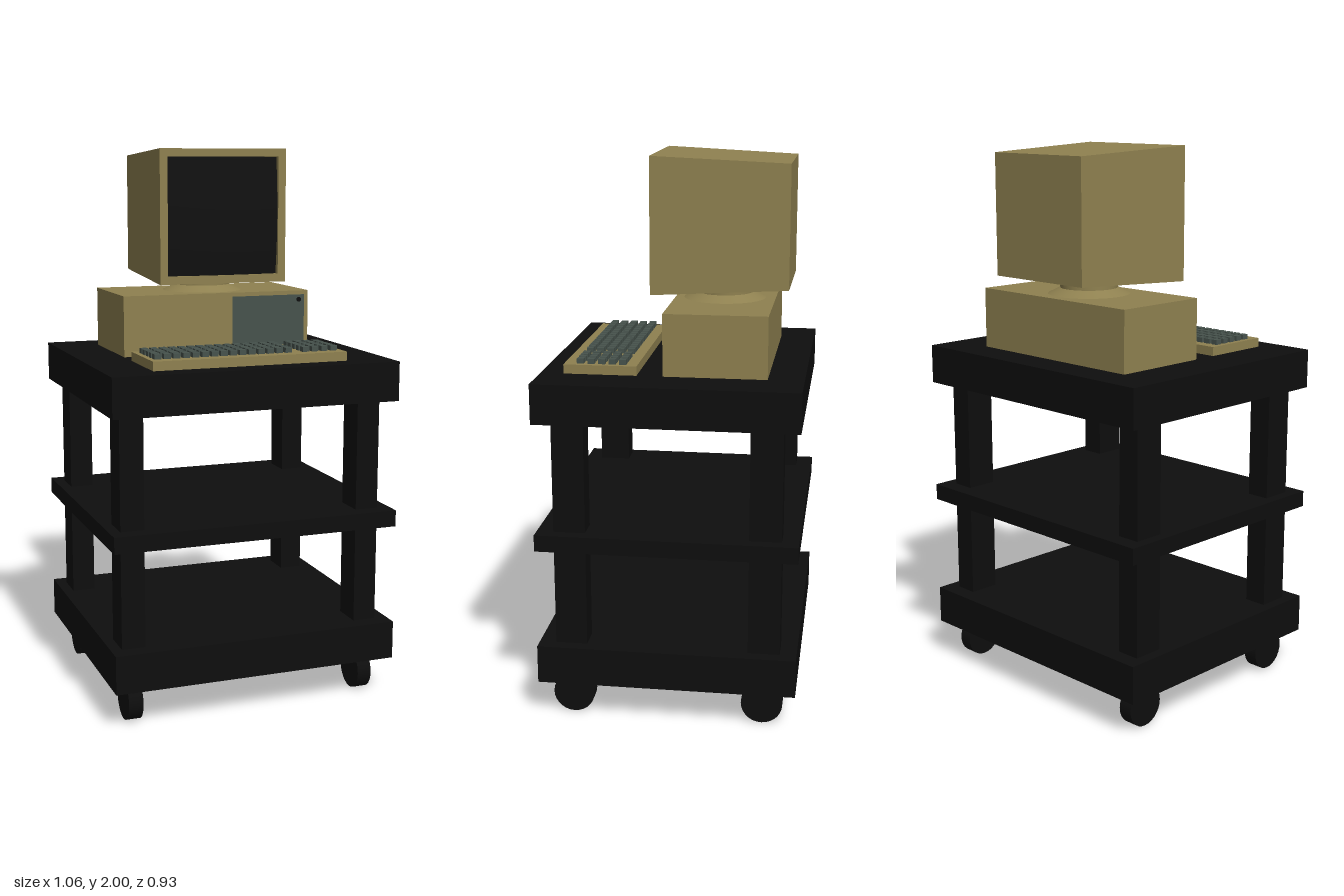
import * as THREE from 'three';

const black = new THREE.MeshStandardMaterial({ color: 0x0e0e0e });
const tan = new THREE.MeshStandardMaterial({ color: 0x8f8150 });
const slate = new THREE.MeshStandardMaterial({ color: 0x47534d });
const glass = new THREE.MeshStandardMaterial({ color: 0x111111 });

// Add a named mesh to a parent
function add(parent, name, geometry, material, x = 0, y = 0, z = 0) {
  const mesh = new THREE.Mesh(geometry, material);
  mesh.name = name;
  mesh.position.set(x, y, z);
  parent.add(mesh);
  return mesh;
}

// Box given by its extents on each axis
function addBox(parent, name, material, [x0, x1], [y0, y1], [z0, z1]) {
  return add(parent, name, new THREE.BoxGeometry(x1 - x0, y1 - y0, z1 - z0), material,
    (x0 + x1) / 2, (y0 + y1) / 2, (z0 + z1) / 2);
}

function addGroup(parent, name) {
  const group = new THREE.Group();
  group.name = name;
  parent.add(group);
  return group;
}

// Skin a row of rectangular sections [halfWidth, bottom, top, z], capping both ends
function loftRects(sections) {
  const points = [], index = [];
  for (const [w, y0, y1, z] of sections) points.push(-w, y0, z, w, y0, z, w, y1, z, -w, y1, z);
  const last = (sections.length - 1) * 4;
  for (let s = 0; s < last; s += 4) {
    for (let i = 0; i < 4; i++) {
      const a = s + i, b = s + (i + 1) % 4;
      index.push(a, b, b + 4, a, b + 4, a + 4);
    }
  }
  index.push(0, 2, 1, 0, 3, 2, last, last + 1, last + 2, last, last + 2, last + 3);
  const indexed = new THREE.BufferGeometry();
  indexed.setAttribute('position', new THREE.Float32BufferAttribute(points, 3));
  indexed.setIndex(index);
  const flat = indexed.toNonIndexed();
  flat.computeVertexNormals();
  return flat;
}

function buildCart(parent) {
  const cart = addGroup(parent, 'cart');
  const shelves = [['bottomShelf', 0.14, 0.28], ['middleShelf', 0.645, 0.705], ['topShelf', 1.11, 1.253]];
  for (const [name, y0, y1] of shelves) addBox(cart, name, black, [-0.532, 0.532], [y0, y1], [-0.465, 0.465]);

  // Posts and casters at the four corners
  for (const sx of [-1, 1]) {
    for (const sz of [-1, 1]) {
      const corner = (sz > 0 ? 'front' : 'back') + (sx > 0 ? 'Left' : 'Right');
      const x = sx > 0 ? 0.442 : -0.45;
      addBox(cart, corner + 'Post', black, [x - 0.043, x + 0.043], [0.28, 1.11], [sz * 0.348 - 0.057, sz * 0.348 + 0.057]);
      const wheel = new THREE.CylinderGeometry(0.075, 0.075, 0.053, 28).rotateZ(Math.PI / 2);
      add(cart, corner + 'Wheel', wheel, black, x - sx * 0.002, 0.075, sz > 0 ? 0.347 : -0.342);
    }
  }
}

function buildComputer(parent) {
  const computer = addGroup(parent, 'computer');
  addBox(computer, 'case', tan, [-0.363, 0.363], [1.253, 1.475], [-0.337, 0.03]);
  addBox(computer, 'drivePanel', slate, [0.058, 0.347], [1.267, 1.46], [0.025, 0.032]);
  const button = new THREE.CylinderGeometry(0.009, 0.009, 0.006, 12).rotateX(Math.PI / 2);
  add(computer, 'powerButton', button, black, 0.325, 1.442, 0.032);
}

function buildMonitor(parent) {
  const monitor = addGroup(parent, 'monitor');

  // Swivel foot: flared disc with a short neck
  add(monitor, 'swivelBase', new THREE.CylinderGeometry(0.105, 0.15, 0.022, 32), tan, 0, 1.486, -0.15);
  add(monitor, 'swivelNeck', new THREE.CylinderGeometry(0.105, 0.105, 0.05, 32), tan, 0, 1.515, -0.15);

  // Tapered housing whose front folds inward to form the bezel recess
  add(monitor, 'housing', loftRects([
    [0.22, 1.54, 1.977, -0.396],
    [0.242, 1.517, 2.0, 0.092],
    [0.213, 1.546, 1.971, 0.092],
    [0.213, 1.546, 1.971, 0.066],
  ]), tan);

  // Bulging tube face
  const screen = new THREE.PlaneGeometry(0.426, 0.425, 16, 16);
  const p = screen.attributes.position;
  for (let i = 0; i < p.count; i++) {
    const u = p.getX(i) / 0.213, v = p.getY(i) / 0.2125;
    p.setZ(i, 0.098 - 0.0145 * (u * u + v * v));
  }
  screen.computeVertexNormals();
  add(monitor, 'screen', screen, glass, 0, 1.7585, 0);
}

function buildKeyboard(parent) {
  const keyboard = addGroup(parent, 'keyboard');
  addBox(keyboard, 'keyboardBase', tan, [-0.363, 0.363], [1.253, 1.286], [0.122, 0.382]);

  // Main block of 15 columns and a number pad of 4
  const key = new THREE.BoxGeometry(0.025, 0.024, 0.025);
  for (const [name, startX, columns] of [['mainKey', -0.332, 15], ['padKey', 0.223, 4]]) {
    for (let row = 0; row < 5; row++) {
      for (let col = 0; col < columns; col++) {
        add(keyboard, name, key, slate, startX + col * (columns > 4 ? 0.0349 : 0.036), 1.292, 0.174 + row * 0.0378);
      }
    }
  }
}

export function createModel() {
  const model = new THREE.Group();
  model.name = 'computerCart';
  buildCart(model);
  buildComputer(model);
  buildMonitor(model);
  buildKeyboard(model);
  return model;
}
